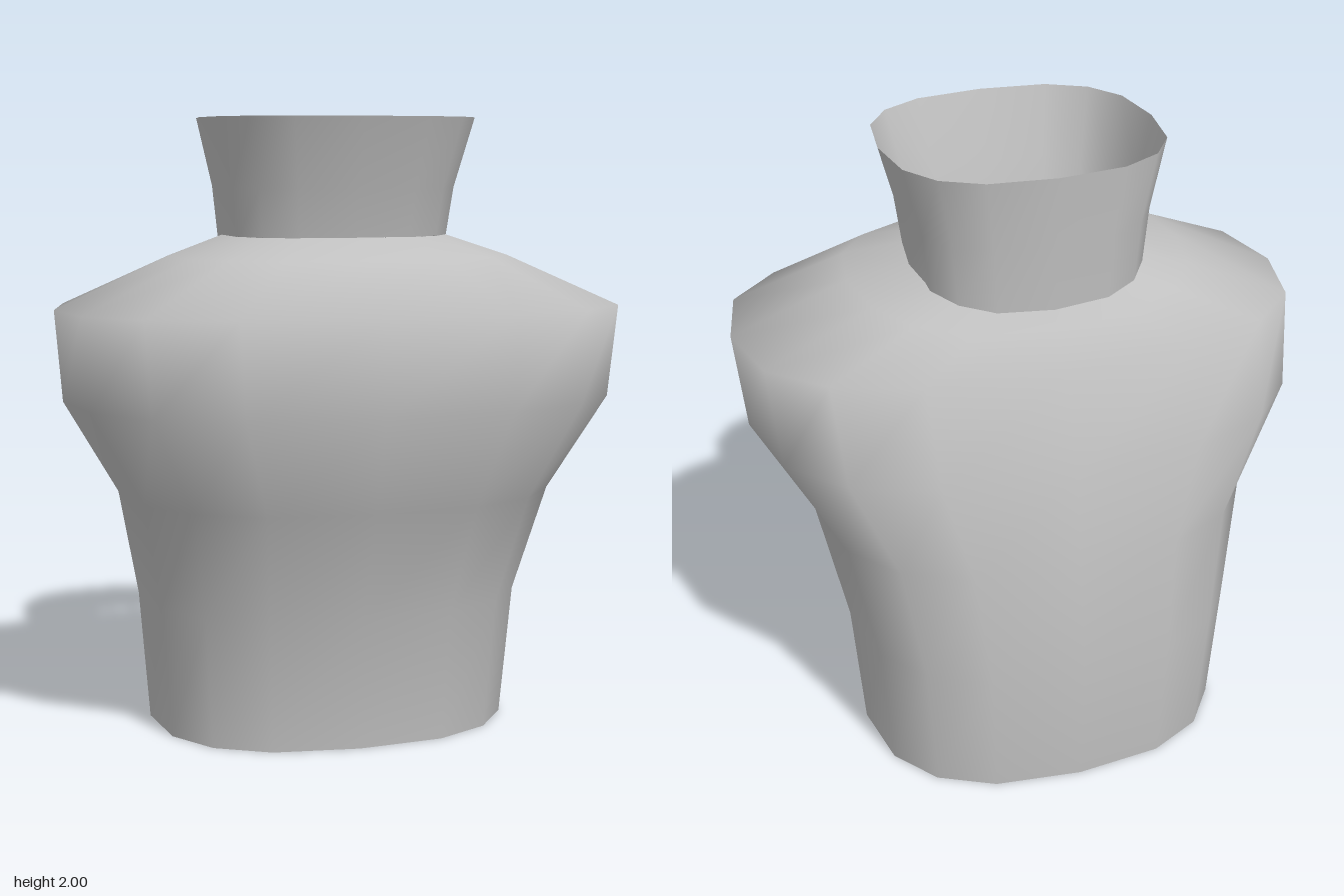
import * as THREE from 'three';

const SIDES = 16;

// Skin stacked rounded-oval rings: [y, halfWidth, frontZ, backZ, backDrop]
function loft(name, rings, power, material) {
  const pos = [], index = [];
  const soft = (v) => Math.sign(v) * Math.abs(v) ** power;
  for (const [y, w, front, back, drop = 0] of rings) {
    const mid = (front + back) / 2, depth = (front - back) / 2;
    for (let i = 0; i < SIDES; i++) {
      const a = (i / SIDES) * Math.PI * 2, c = Math.cos(a);
      pos.push(w * soft(Math.sin(a)), y - drop * Math.max(0, -c) ** 2, mid + depth * soft(c));
    }
  }
  for (let r = 0; r < rings.length - 1; r++) {
    for (let i = 0; i < SIDES; i++) {
      const j = (i + 1) % SIDES;
      const a = r * SIDES + i, b = r * SIDES + j;
      index.push(a, b, b + SIDES, a, b + SIDES, a + SIDES);
    }
  }
  const geo = new THREE.BufferGeometry();
  geo.setAttribute('position', new THREE.Float32BufferAttribute(pos, 3));
  geo.setIndex(index);
  geo.computeVertexNormals();
  const mesh = new THREE.Mesh(geo, material);
  mesh.name = name;
  return mesh;
}

export function createModel() {
  const cloth = new THREE.MeshStandardMaterial({ color: 0xc0c0c0, side: THREE.DoubleSide });
  cloth.name = 'greyCloth';
  const model = new THREE.Group();
  model.name = 'collaredTorso';

  // Torso shell, open at the waist, with shoulders closing in to the neck
  model.add(loft('torso', [
    [0, 0.6, 0.375, -0.64],
    [0.435, 0.635, 0.415, -0.66],
    [0.8, 0.71, 0.56, -0.605],
    [1.11, 0.89, 0.665, -0.56],
    [1.405, 0.917, 0.645, -0.445],
    [1.565, 0.55, 0.475, -0.36, 0.06],
    [1.628, 0.365, 0.31, -0.31, 0.06],
  ], 0.79, cloth));

  // Neck opening turned inward and down inside the collar
  model.add(loft('neckOpening', [
    [1.628, 0.365, 0.31, -0.31, 0.06],
    [1.61, 0.285, 0.22, -0.295, 0.04],
    [1.49, 0.24, 0.18, -0.24, 0.02],
  ], 0.76, cloth));

  // Flared standing collar
  model.add(loft('collar', [
    [1.61, 0.365, 0.305, -0.34, 0.045],
    [1.78, 0.385, 0.345, -0.35],
    [2, 0.44, 0.42, -0.367],
  ], 0.75, cloth));

  return model;
}
